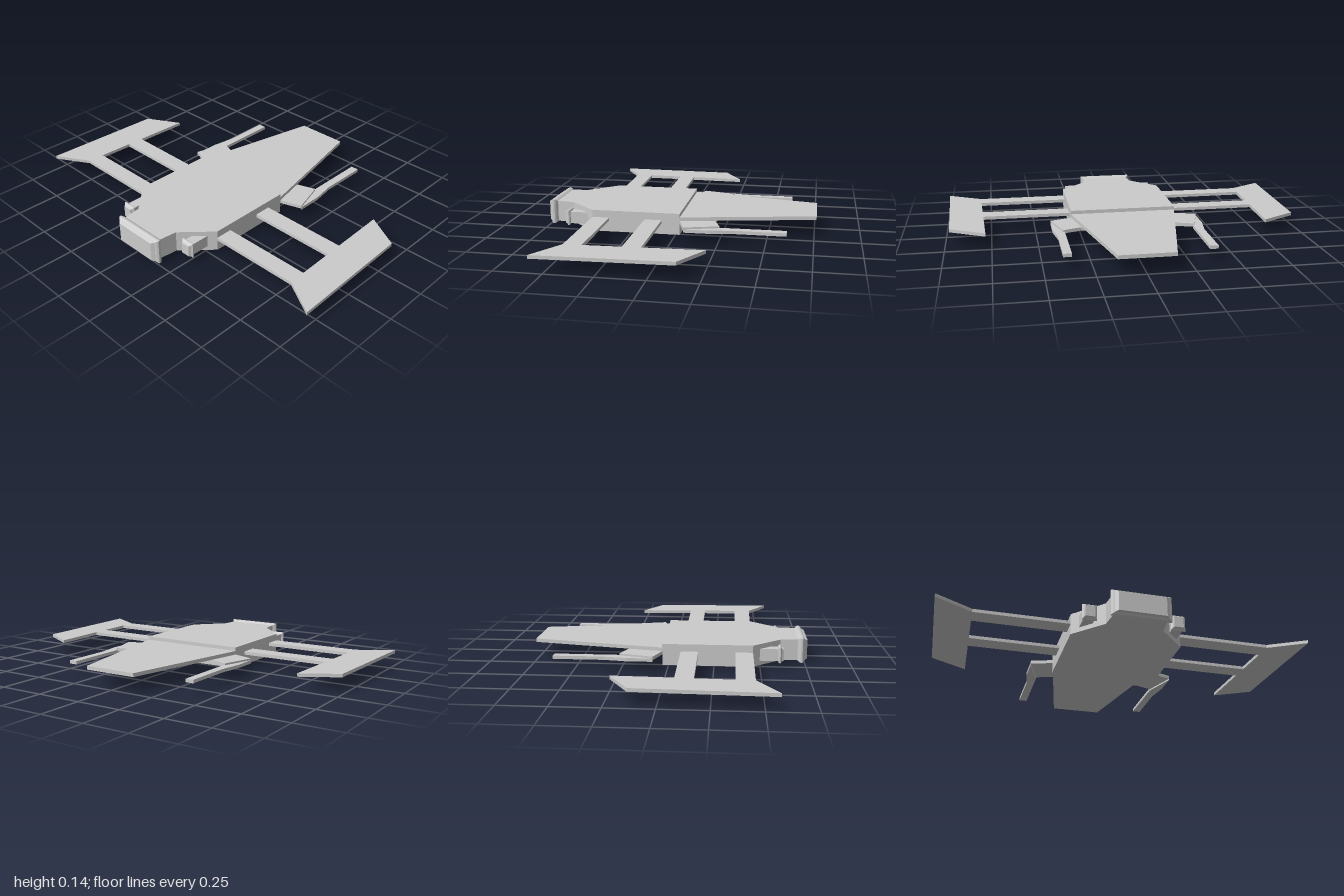
import * as THREE from 'three';

const material = new THREE.MeshStandardMaterial({ color: 0xcccccc, flatShading: true });

function addMesh(parent, name, geometry) {
  const mesh = new THREE.Mesh(geometry, material);
  mesh.name = name;
  parent.add(mesh);
  return mesh;
}

// Flat plate from an outline of [x, z] points, between two heights
function slab(points, y0, y1) {
  const shape = new THREE.Shape(points.map(([x, z]) => new THREE.Vector2(x, -z)));
  const geometry = new THREE.ExtrudeGeometry(shape, { depth: y1 - y0, bevelEnabled: false });
  return geometry.rotateX(-Math.PI / 2).translate(0, y0, 0);
}

// Outline mirrored across z = 0, given its +z half
function symmetric(half) {
  return [...half, ...half.map(([x, z]) => [x, -z]).reverse()];
}

// Rectangular sections [x, half height, half width] joined along x, from front to back, capped
function rectLoft(sections, y, z) {
  const positions = [], index = [];
  for (const [x, h, w] of sections) {
    for (const [sy, sz] of [[1, 1], [1, -1], [-1, -1], [-1, 1]]) positions.push(x, y + sy * h, z + sz * w);
  }
  for (let s = 0; s < sections.length - 1; s++) {
    for (let k = 0; k < 4; k++) {
      const a = s * 4 + k, b = s * 4 + (k + 1) % 4;
      index.push(a, b + 4, a + 4, a, b, b + 4);
    }
  }
  const e = (sections.length - 1) * 4;
  index.push(0, 2, 1, 0, 3, 2, e, e + 1, e + 2, e, e + 2, e + 3);
  const geometry = new THREE.BufferGeometry();
  geometry.setAttribute('position', new THREE.Float32BufferAttribute(positions, 3));
  geometry.setIndex(index);
  const flat = geometry.toNonIndexed();
  flat.computeVertexNormals();
  return flat;
}

export function createModel() {
  const model = new THREE.Group();
  model.name = 'spacecraft';

  // Thick main hull and thin tapered nose
  addMesh(model, 'hull', slab(symmetric([[0.03, 0.3], [-0.46, 0.3], [-0.615, 0.152], [-0.72, 0.14]]), 0.012, 0.13));
  addMesh(model, 'nosePlate', slab(symmetric([[0.76, 0.148], [0.03, 0.3]]), 0.09, 0.11));

  // Plate under the nose that carries both forward prongs
  addMesh(model, 'prongBracket', slab(symmetric([[0.22, 0.265], [0.255, 0.365], [0.07, 0.42], [0.03, 0.3]]), 0.071, 0.09));

  // Wide rear thruster
  addMesh(model, 'mainThruster', rectLoft([
    [-0.71, 0.059, 0.14], [-0.72, 0.066, 0.152], [-0.728, 0.07, 0.158], [-0.738, 0.07, 0.158],
    [-0.746, 0.066, 0.15], [-0.75, 0.06, 0.141], [-0.765, 0.054, 0.125]], 0.07, 0));

  for (const side of [1, -1]) {
    const half = new THREE.Group();
    half.name = side > 0 ? 'starboardSide' : 'portSide';
    model.add(half);
    const mirror = (points) => points.map(([x, z]) => [x, z * side]);

    // Two struts and the swept outer panel
    for (const [x0, x1] of [[-0.46, -0.365], [-0.165, -0.07]]) {
      addMesh(half, 'wingStrut', slab(mirror([[x0, 0.29], [x0, 0.82], [x1, 0.82], [x1, 0.29]]), 0.072, 0.09));
    }
    addMesh(half, 'wingPanel', slab(mirror([[-0.57, 1], [0.135, 0.975], [0.245, 0.78], [-0.46, 0.808]]), 0.072, 0.09));

    // Forward prong
    addMesh(half, 'prong', slab(mirror([
      [0.07, 0.42], [0.21, 0.42], [0.335, 0.4], [0.61, 0.4], [0.61, 0.355], [0.25, 0.357]]), 0.062, 0.08));

    // Small rear thruster with a flared collar
    addMesh(half, 'sideThruster', rectLoft([
      [-0.48, 0.033, 0.029], [-0.597, 0.033, 0.029], [-0.6, 0.04, 0.036], [-0.605, 0.043, 0.039],
      [-0.61, 0.043, 0.039], [-0.614, 0.038, 0.034], [-0.618, 0.034, 0.03], [-0.628, 0.031, 0.025]], 0.07, 0.235 * side));
  }
  return model;
}
